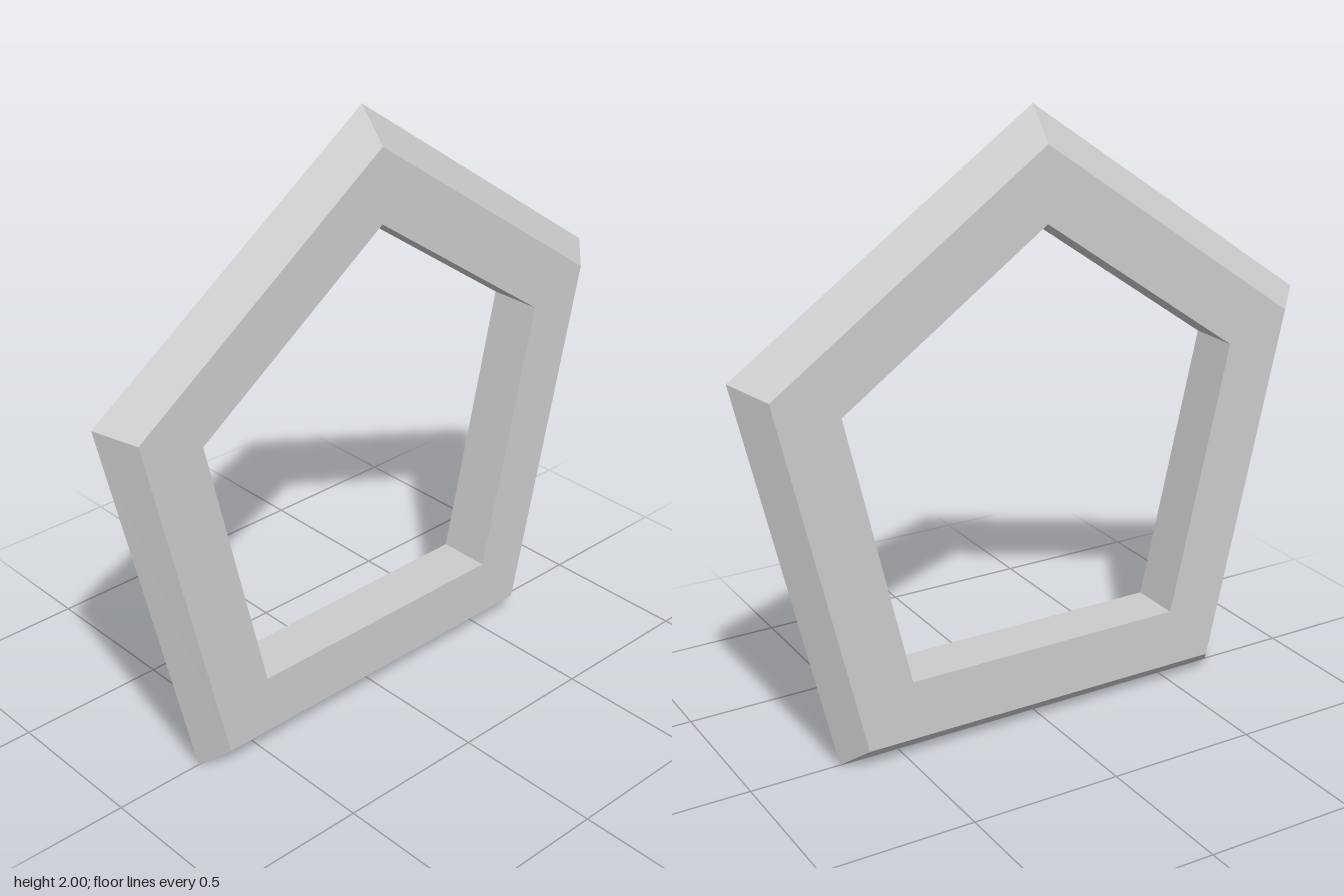
import * as THREE from 'three';

// Rings of the frame: half thickness x, then [z, y] of the top, side and bottom corners
const ridge = { x: 0, top: [0, 2], side: [1, 1.304], base: [0.7, 0] };
const bevel = { x: 0.0885, top: [0, 1.893], side: [0.911, 1.256], base: [0.638, 0.072] };
const inner = { x: 0.0885, top: [0, 1.655], side: [0.691, 1.173], base: [0.483, 0.27] };

// Five corners of a ring, mirrored front to back
function ringPoints({ x, top, side, base }, sign) {
  const mirror = ([z, y]) => [-z, y];
  return [top, side, base, mirror(base), mirror(side)]
    .map(([z, y]) => new THREE.Vector3(sign * x, y, z));
}

export function createModel() {
  const group = new THREE.Group();
  group.name = 'pentagonRing';

  // Cross-section: outer ridge, bevel edge, inner edge, then the same on the other side
  const rings = [
    ringPoints(ridge, 1), ringPoints(bevel, 1), ringPoints(inner, 1),
    ringPoints(inner, -1), ringPoints(bevel, -1),
  ];

  // Join neighbouring rings with quads around the five sides
  const points = [];
  for (let j = 0; j < rings.length; j++) {
    const r = rings[j], s = rings[(j + 1) % rings.length];
    for (let i = 0; i < 5; i++) {
      const n = (i + 1) % 5;
      points.push(r[i], r[n], s[n], r[i], s[n], s[i]);
    }
  }
  const geometry = new THREE.BufferGeometry().setFromPoints(points);
  geometry.computeVertexNormals();

  const frame = new THREE.Mesh(
    geometry,
    new THREE.MeshStandardMaterial({ color: 0xcccccc, flatShading: true })
  );
  frame.name = 'bevelledFrame';
  group.add(frame);
  return group;
}
